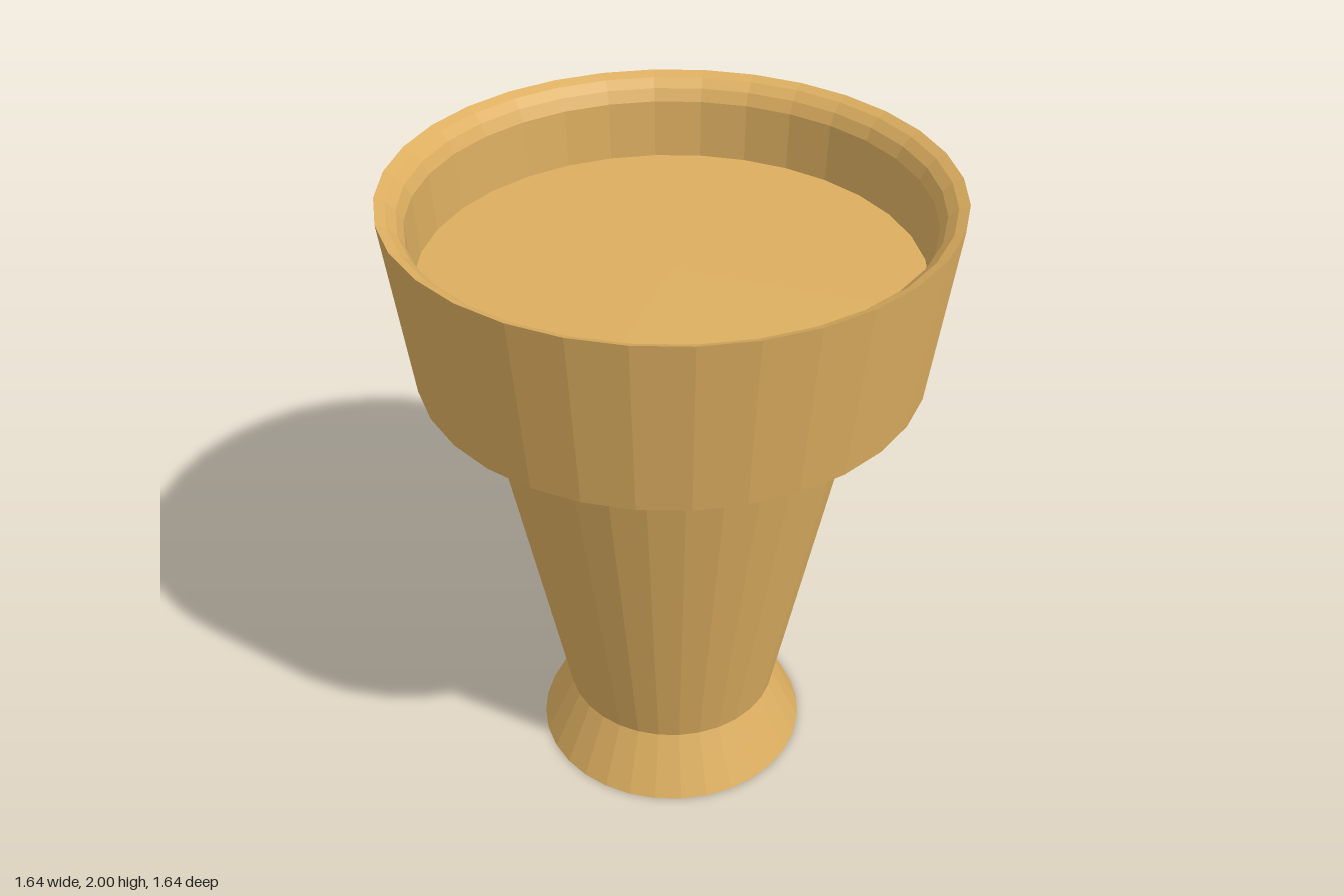
import * as THREE from 'three';

const SIDES = 32;

export function createModel() {
  const group = new THREE.Group();
  group.name = 'goblet';
  const material = new THREE.MeshStandardMaterial({ color: 0xdcae60, flatShading: true });

  // Turns a [radius, height] profile, listed from the outside bottom upwards, around y
  const turned = (name, profile) => {
    const points = profile.map(([r, y]) => new THREE.Vector2(r, y));
    const mesh = new THREE.Mesh(new THREE.LatheGeometry(points, SIDES), material);
    mesh.name = name;
    group.add(mesh);
  };

  // Flared foot with closed underside
  turned('foot', [[0, 0], [0.44, 0], [0.345, 0.2]]);

  // Tapered body
  turned('stem', [[0.345, 0.2], [0.555, 1.31]]);

  // Sloping shoulder and outer wall of the cup
  turned('cupOuterWall', [[0.555, 1.31], [0.755, 1.455], [0.82, 2]]);

  // Rim rolling inwards and down
  turned('rim', [[0.82, 2], [0.79, 1.987], [0.763, 1.962], [0.745, 1.925]]);

  // Recess wall and its flat floor
  turned('cupInnerWall', [[0.745, 1.925], [0.735, 1.745]]);
  turned('cupFloor', [[0.735, 1.745], [0, 1.745]]);

  return group;
}
